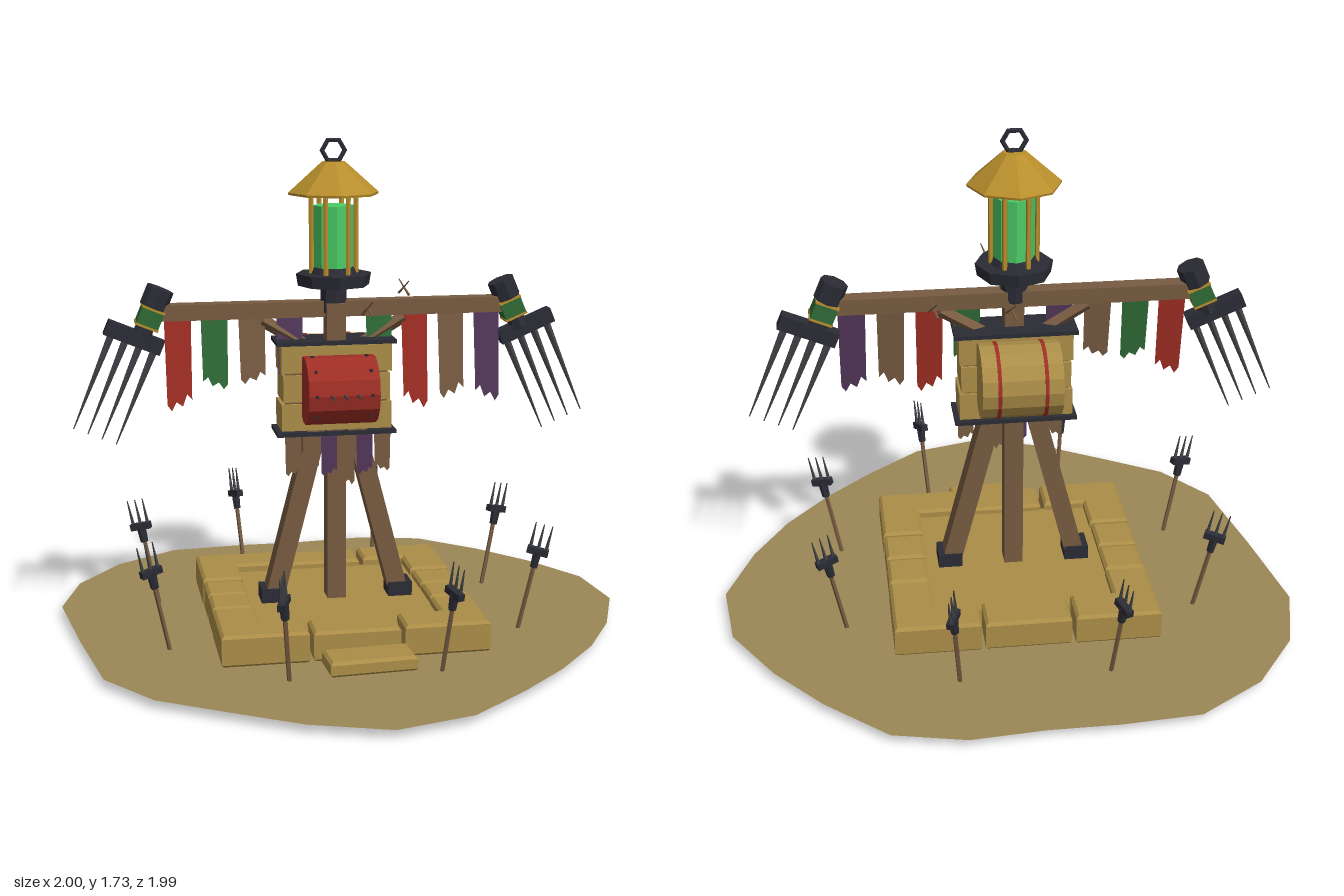
import * as THREE from 'three';

const mat = (name, color, open = false) => new THREE.MeshStandardMaterial({
  name, color, flatShading: true, side: open ? THREE.DoubleSide : THREE.FrontSide });
const M = {
  ground: mat('dry earth', 0x9c8856, true),
  tan: mat('sandy stone and planks', 0xab8d47),
  wood: mat('brown wood and cloth', 0x775b41, true),
  iron: mat('dark iron', 0x2b2b35),
  steel: mat('grey steel', 0x404247),
  gold: mat('brass', 0xb88e2c),
  glass: mat('glowing glass', 0x4ccb66),
  green: mat('green cloth', 0x2f6a35, true),
  red: mat('red paint and cloth', 0x9f2e25, true),
  purple: mat('purple cloth', 0x52365a, true),
};
const CX = -0.035, CZ = -0.09;
const V = (x, y, z) => new THREE.Vector3(x, y, z);

function add(parent, name, geo, material, x = 0, y = 0, z = 0) {
  const m = new THREE.Mesh(geo, material);
  m.name = name;
  m.position.set(x, y, z);
  parent.add(m);
  return m;
}
const box = (p, name, m, w, h, d, x, y, z) => add(p, name, new THREE.BoxGeometry(w, h, d), m, x, y, z);
const cyl = (p, name, m, rTop, rBot, h, sides, x, y, z) =>
  add(p, name, new THREE.CylinderGeometry(rTop, rBot, h, sides), m, x, y, z);

// Round or tapered bar between two points
function rod(p, name, m, a, b, ra, rb = ra, sides = 5) {
  const d = b.clone().sub(a);
  const mesh = cyl(p, name, m, rb, ra, d.length(), sides, 0, 0, 0);
  mesh.position.copy(a).addScaledVector(d, 0.5);
  mesh.quaternion.setFromUnitVectors(V(0, 1, 0), d.normalize());
  return mesh;
}

// Bevelled stone from an x/z outline
function stone(p, name, pts, y0, y1) {
  const g = new THREE.ExtrudeGeometry(new THREE.Shape(pts.map(q => new THREE.Vector2(...q))), {
    depth: y1 - y0 - 0.02, bevelEnabled: true, bevelSize: 0.01, bevelOffset: -0.01, bevelThickness: 0.01, bevelSegments: 1 });
  g.rotateX(Math.PI / 2);
  return add(p, name, g, M.tan, 0, y1 - 0.01, 0);
}
const rect = (x0, x1, z0, z1) => [[x0, z0], [x1, z0], [x1, z1], [x0, z1]];

// Torn strip of cloth hanging from its top edge
function cloth(p, name, m, x, y, z, w, h, tilt, flip = 1) {
  const s = new THREE.Shape([[-.5, 0], [.5, 0], [.47, -.88], [.28, -.82], [.12, -.95], [-.12, -.9], [-.3, -1], [-.46, -.93]]
    .map(([u, v]) => new THREE.Vector2(u * w * flip, v * h)));
  add(p, name, new THREE.ShapeGeometry(s), m, x, y, z).rotation.x = tilt;
}

function buildBase(root) {
  const g = new THREE.Group();
  g.name = 'base';
  root.add(g);
  // Irregular patch of earth
  const edge = [[-1, -.33], [-.93, -.59], [-.77, -.81], [-.54, -.96], [-.27, -.98], [-.03, -.98], [.22, -1], [.465, -.945],
    [.67, -.76], [.83, -.57], [.97, -.34], [1, -.07], [.9, .19], [.775, .4], [.615, .59], [.44, .755], [.235, .92],
    [-.03, .99], [-.29, .9], [-.51, .765], [-.73, .625], [-.88, .42], [-.945, .05]];
  const earth = new THREE.ShapeGeometry(new THREE.Shape(edge.map(([x, z]) => new THREE.Vector2(x, -z))));
  add(g, 'earthPatch', earth.rotateX(-Math.PI / 2), M.ground, 0, 0.032, 0);

  // Stone rim: L corners, edge stones, inner floor, front step
  const cz = -0.067;
  for (const sx of [-1, 1]) for (const sz of [-1, 1]) {
    const L = [[.457, .457], [.162, .457], [.162, .315], [.312, .315], [.312, .165], [.457, .165]];
    stone(g, 'cornerStone', L.map(([x, z]) => [CX + sx * x, cz + sz * z]), 0.03, 0.14);
  }
  for (const s of [-1, 1]) {
    const z = cz + s * 0.385, x = CX + s * 0.385;
    stone(g, 'edgeStone', rect(CX - .148, CX + .148, z - .07, z + .068), 0.03, 0.135);
    stone(g, 'sideStone', rect(x - .07, x + .07, cz - .152, cz - .004), 0.03, 0.135);
    stone(g, 'sideStone', rect(x - .07, x + .07, cz + .004, cz + .152), 0.03, 0.138);
  }
  box(g, 'stoneFloor', M.tan, .66, .075, .66, CX, .0725, cz);
  const step = stone(g, 'frontStep', rect(-.147, .147, -.068, .068), 0.03, 0.083);
  step.position.x = -0.01;
  step.position.z = 0.465;
  step.rotation.y = 0.06;
}

function buildFrame(root) {
  const g = new THREE.Group();
  g.name = 'frame';
  root.add(g);
  box(g, 'centrePost', M.wood, .066, 1.06, .075, CX, .64, -.065);
  box(g, 'crossBeam', M.wood, 1.25, .055, .058, CX, 1.148, CZ);
  for (const s of [-1, 1]) {
    // Slanted legs with iron feet, and braces under the beam
    const len = Math.hypot(.16, .62);
    const leg = box(g, 'leg', M.wood, .066, len, .08, CX + s * .148, .42, -.06);
    leg.rotation.z = s * Math.atan2(.16, .62);
    box(g, 'ironFoot', M.iron, .085, .05, .095, CX + s * .228, .135, -.06);
    rod(g, 'brace', M.wood, V(CX + s * .25, 1.11, CZ), V(CX + s * .1, 1.02, CZ), .022, .022, 4);
  }
}

function buildTorso(root) {
  const g = new THREE.Group();
  g.name = 'torso';
  root.add(g);
  const z = -0.088;
  box(g, 'torsoCore', M.wood, .36, .3, .12, CX, .877, z);
  for (let i = 0; i < 3; i++)
    box(g, 'plank', M.tan, .388 - (i % 2) * .012, .094, .142, CX, .776 + i * .102, z);
  for (const y of [.716, 1.036]) box(g, 'ironPlate', M.iron, .42, .014, .155, CX, y, z);

  // Red drum in front, with rivets and prongs
  cyl(g, 'redDrum', M.red, .118, .118, .245, 14, CX, .882, .03).rotation.z = Math.PI / 2;
  for (const s of [-1, 1]) for (const a of [-.75, 0, .75, 1.5])
    box(g, 'rivet', M.iron, .01, .01, .01, CX + s * .095, .882 + .116 * Math.sin(a), .03 + .116 * Math.cos(a));
  for (const dx of [-.045, 0, .045])
    rod(g, 'prong', M.steel, V(CX + dx, .882, .14), V(CX + dx, .882, .215), .006, .002);

  // Banded keg at the back
  cyl(g, 'keg', M.tan, .127, .127, .27, 16, CX, .907, -.228).rotation.z = Math.PI / 2;
  for (const dx of [-.078, .078])
    cyl(g, 'kegBand', M.red, .13, .13, .012, 16, CX + dx, .907, -.228).rotation.z = Math.PI / 2;

  // Ragged skirt below the torso
  const cols = [M.wood, M.wood, M.purple, M.wood, M.purple, M.wood];
  const drops = [.145, .12, .15, .185, .15, .14];
  cols.forEach((m, i) => cloth(g, 'skirtStrip', m, -.19 + i * .063, .715, -.012, .058, drops[i], 0, i % 2 ? -1 : 1));
}

function buildLantern(root) {
  const g = new THREE.Group();
  g.name = 'lantern';
  g.position.set(CX, 0, -.083);
  root.add(g);
  cyl(g, 'neck', M.iron, .046, .046, .1, 8, 0, 1.185, 0);
  cyl(g, 'lanternBase', M.iron, .132, .125, .042, 8, 0, 1.25, 0);
  cyl(g, 'glassSeat', M.iron, .07, .085, .025, 8, 0, 1.28, 0);
  cyl(g, 'glass', M.glass, .07, .07, .215, 8, 0, 1.398, 0);
  for (let i = 0; i < 6; i++) {
    const a = i * Math.PI / 3;
    cyl(g, 'lanternPost', M.gold, .009, .009, .29, 5, .078 * Math.cos(a), 1.41, .078 * Math.sin(a));
  }
  cyl(g, 'roof', M.gold, .04, .158, .105, 8, 0, 1.602, 0);
  cyl(g, 'roofRim', M.gold, .158, .156, .008, 8, 0, 1.546, 0);
  add(g, 'hangingRing', new THREE.TorusGeometry(.039, .009, 5, 6), M.iron, 0, 1.692, 0);
}

// Rake claw at a beam end; side -1 is built, the other is turned round
function buildArm(root, turn) {
  const pivot = new THREE.Group();
  pivot.name = 'rakeArm';
  pivot.position.set(CX, 0, CZ);
  pivot.rotation.y = turn;
  root.add(pivot);
  const g = new THREE.Group();
  g.name = 'rake';
  g.position.set(-.692, 1.065, 0);
  g.rotation.z = -.4;
  pivot.add(g);
  box(g, 'rakeBar', M.iron, .205, .052, .05, 0, 0, 0);
  cyl(g, 'rakeSocket', M.iron, .03, .035, .07, 8, .022, .04, 0);
  box(g, 'armWrap', M.green, .078, .066, .082, .024, .084, 0);
  for (const y of [.052, .116]) box(g, 'wrapBand', M.gold, .082, .008, .086, .024, y, 0);
  cyl(g, 'rakeCap', M.iron, .048, .048, .07, 8, .022, .155, 0);
  for (let i = 0; i < 4; i++) {
    const x = -.075 + i * .052;
    rod(g, 'tine', M.steel, V(x, -.01, 0), V(x, -.372, 0), .014, .002, 6);
  }
}

function buildBanners(root) {
  const g = new THREE.Group();
  g.name = 'banners';
  root.add(g);
  [[-.578, .315, M.red], [-.452, .245, M.green], [-.322, .23, M.wood], [-.19, .23, M.purple],
    [.125, .23, M.green], [.252, .335, M.red], [.382, .305, M.wood], [.512, .32, M.purple]]
    .forEach(([x, h, m], i) => cloth(g, 'banner', m, x, 1.122, -.085, .092, h, -.12, i % 2 ? -1 : 1));
}

// Ring of pitchforks leaning outward
function buildForks(root) {
  for (let i = 0; i < 8; i++) {
    const spin = new THREE.Group();
    spin.name = 'pitchfork';
    spin.position.set(CX, 0, -.075);
    spin.rotation.y = Math.PI / 8 + i * Math.PI / 4;
    root.add(spin);
    const f = new THREE.Group();
    f.name = 'fork';
    f.position.x = .655;
    f.rotation.z = -.22;
    spin.add(f);
    rod(f, 'shaft', M.wood, V(0, 0.003, 0), V(0, .28, 0), .008);
    rod(f, 'collar', M.iron, V(0, .265, 0), V(0, .325, 0), .014, .017, 6);
    box(f, 'forkBar', M.iron, .075, .024, .026, 0, .325, 0);
    for (const x of [-.028, 0, .028])
      rod(f, 'forkTine', M.steel, V(x, .33, 0), V(x * 1.05, .425, 0), .007, .002);
  }
}

// Loose crossed twigs around the top
function buildTwigs(root) {
  for (const [x, z] of [[.03, .205], [0, -.29], [.25, -.25]])
    for (const s of [-1, 1])
      rod(root, 'twig', M.wood, V(x - .012 * s, 1.165, z - .03 * s), V(x + .012 * s, 1.215, z + .03 * s), .005, .002, 4);
}

export function createModel() {
  const root = new THREE.Group();
  root.name = 'scarecrowShrine';
  buildBase(root);
  buildFrame(root);
  buildTorso(root);
  buildLantern(root);
  buildArm(root, 0);
  buildArm(root, Math.PI);
  buildBanners(root);
  buildForks(root);
  buildTwigs(root);
  return root;
}
